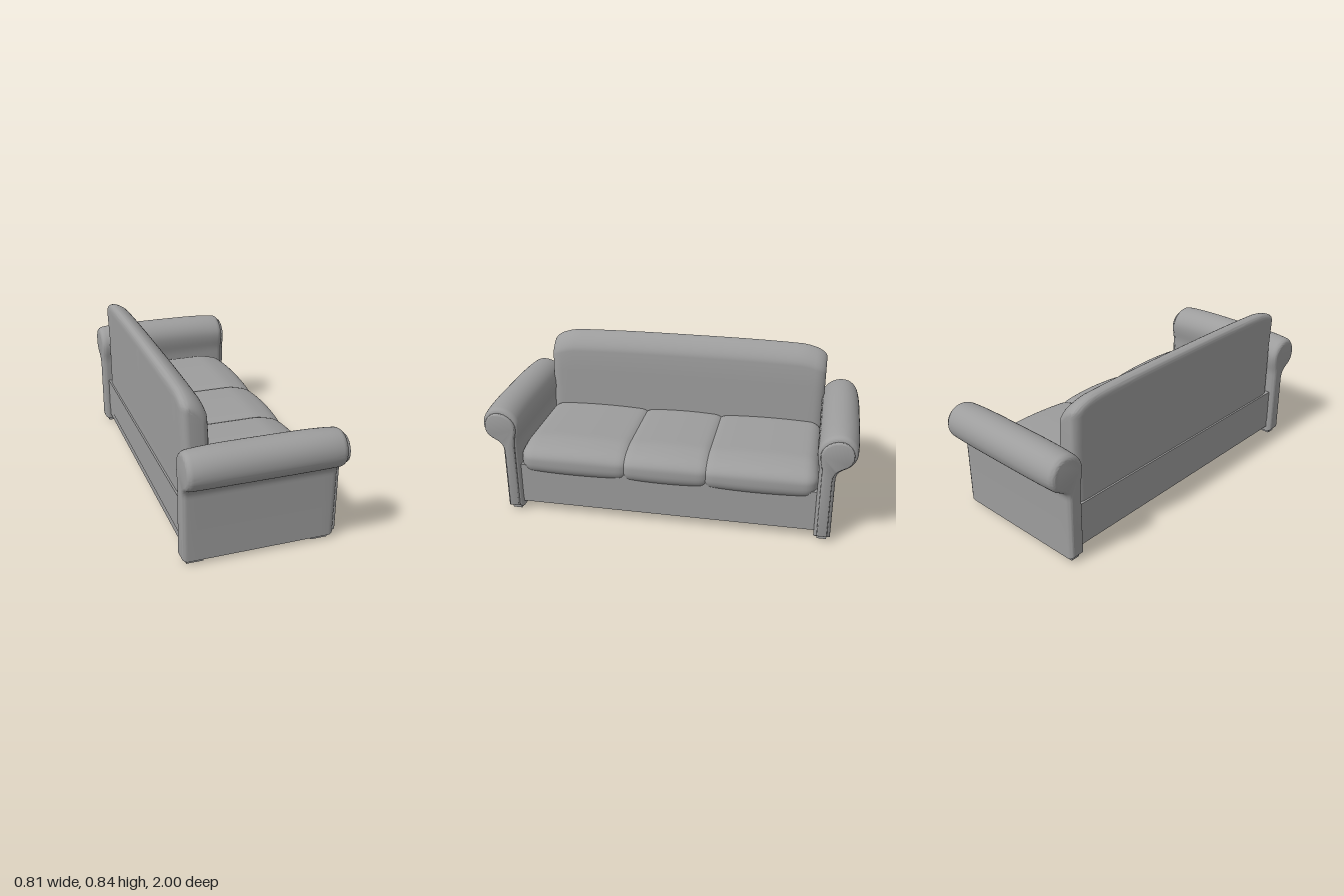
import * as THREE from 'three';
import { mergeVertices, toCreasedNormals } from 'three/addons/utils/BufferGeometryUtils.js';

const material = new THREE.MeshStandardMaterial({ color: 0x9d9d9d });
const { smoothstep } = THREE.MathUtils;

function add(parent, name, geometry, x = 0, y = 0, z = 0) {
  const mesh = new THREE.Mesh(geometry, material);
  mesh.name = name;
  mesh.position.set(x, y, z);
  parent.add(mesh);
}

// Move every vertex of a geometry by a rule
function deform(geometry, rule) {
  const pos = geometry.attributes.position;
  const p = new THREE.Vector3();
  for (let i = 0; i < pos.count; i++) {
    rule(p.fromBufferAttribute(pos, i));
    pos.setXYZ(i, p.x, p.y, p.z);
  }
  return geometry;
}

// Extrusion with soft ends, centred on its depth; inset shrinks the outline
function softExtrude(shape, length, thickness, size, inset, rule, steps) {
  const g = new THREE.ExtrudeGeometry(shape, {
    depth: length - 2 * thickness, steps, curveSegments: 12,
    bevelThickness: thickness, bevelSize: size, bevelOffset: -size - inset, bevelSegments: 6,
  });
  g.translate(0, 0, thickness - length / 2);
  return toCreasedNormals(deform(g, rule), 0.6);
}

// Rolled arm outline: x points outwards from the seat
function armShape() {
  const s = new THREE.Shape();
  s.moveTo(0.803, 0.02);
  s.lineTo(0.89, 0.02);
  s.lineTo(0.89, 0.36);
  s.bezierCurveTo(0.89, 0.415, 0.92, 0.42, 0.95, 0.437);
  s.bezierCurveTo(0.985, 0.457, 1.0, 0.49, 1.0, 0.525);
  s.bezierCurveTo(1.0, 0.585, 0.955, 0.627, 0.9, 0.627);
  s.bezierCurveTo(0.84, 0.627, 0.79, 0.58, 0.79, 0.52);
  s.bezierCurveTo(0.79, 0.47, 0.803, 0.45, 0.803, 0.4);
  s.closePath();
  return s;
}

// Side outline of the backrest
function backShape() {
  const s = new THREE.Shape();
  s.moveTo(-0.365, 0.2);
  s.lineTo(-0.225, 0.2);
  s.lineTo(-0.232, 0.62);
  s.lineTo(-0.238, 0.74);
  s.bezierCurveTo(-0.242, 0.785, -0.3, 0.838, -0.34, 0.84);
  s.bezierCurveTo(-0.365, 0.84, -0.373, 0.825, -0.373, 0.79);
  s.lineTo(-0.366, 0.6);
  s.closePath();
  return s;
}

// Puffed cushion: a box with dense edges, rounded and crowned
function cushion(depth, height, width, r) {
  const half = new THREE.Vector3(depth, height, width).multiplyScalar(0.5);
  const inner = half.clone().subScalar(r);
  const low = inner.clone().negate();
  const core = new THREE.Vector3();
  let g = new THREE.BoxGeometry(2, 2, 2, 30, 16, 30);
  g.deleteAttribute('uv');
  g.deleteAttribute('normal');
  g = mergeVertices(g);
  deform(g, (p) => {
    const ease = (t) => Math.sin(t * Math.PI / 2);
    p.set(ease(p.x), ease(p.y), ease(p.z)).multiply(half);
    core.copy(p).clamp(low, inner);
    p.sub(core).setLength(r).add(core);
    const u = p.x / half.x, v = p.y / half.y, w = p.z / half.z;
    const top = smoothstep(v, -0.5, 1);
    p.y += top * (0.012 * (1 - w * w) - 0.03 * smoothstep(u, 0.5, 1));
    p.x += 0.014 * (1 - w * w) * smoothstep(u, 0.5, 1);
  });
  g.computeVertexNormals();
  return g;
}

export function createModel() {
  const sofa = new THREE.Group();
  sofa.name = 'sofa';

  // Frame between the arms, with a barely recessed bottom rail
  add(sofa, 'baseFrame', new THREE.BoxGeometry(0.74, 0.19, 1.63), -0.005, 0.185, 0);
  add(sofa, 'bottomRail', new THREE.BoxGeometry(0.736, 0.05, 1.63), -0.005, 0.075, 0);
  add(sofa, 'rearRail', new THREE.BoxGeometry(0.06, 0.05, 1.63), -0.345, 0.265, 0);

  // Backrest with an arched top and dropped corners
  add(sofa, 'backrest', softExtrude(backShape(), 1.606, 0.06, 0.035, 0, (p) => {
    const z = Math.abs(p.z);
    const drop = 0.016 * (z / 0.8) ** 3 + 0.03 * smoothstep(z, 0.66, 0.83);
    p.y -= drop * smoothstep(p.y, 0.5, 0.78);
  }, 40));

  // Three seat cushions, pressed into each other at the seams
  add(sofa, 'middleSeatCushion', cushion(0.645, 0.175, 0.51, 0.07), 0.0525, 0.3125, 0);
  for (const s of [-1, 1]) {
    const side = s > 0 ? 'left' : 'right';
    add(sofa, side + 'SeatCushion', cushion(0.645, 0.175, 0.62, 0.07), 0.0525, 0.3125, s * 0.497);
  }

  // Rolled arms, front facings and feet, mirrored across the middle
  const armLength = 0.795;
  for (const s of [-1, 1]) {
    const arm = new THREE.Group();
    arm.name = s > 0 ? 'leftArm' : 'rightArm';
    const body = softExtrude(armShape(), armLength, 0.03, 0.022, 0, (p) => {
      const end = Math.abs(2 * p.z / armLength) ** 4;
      p.y -= 0.014 * end * smoothstep(p.y, 0.42, 0.6);
      p.x -= 0.01 * end * smoothstep(p.x, 0.9, 1);
    }, 16);
    add(arm, 'armBody', body.rotateY(-s * Math.PI / 2), -0.0075);
    const facing = softExtrude(armShape(), 0.035, 0.012, 0.01, 0.016, (p) => {
      p.y -= 0.02 * smoothstep(p.y, 0.42, 0.6);
      p.x -= 0.01 * smoothstep(p.x, 0.9, 1);
    }, 1);
    add(arm, 'armFacing', facing.rotateY(-s * Math.PI / 2), 0.3875);
    for (const x of [-0.337, 0.317]) {
      add(arm, 'foot', new THREE.BoxGeometry(0.087, 0.035, 0.05), x, 0.0175, s * 0.847);
    }
    sofa.add(arm);
  }
  return sofa;
}
